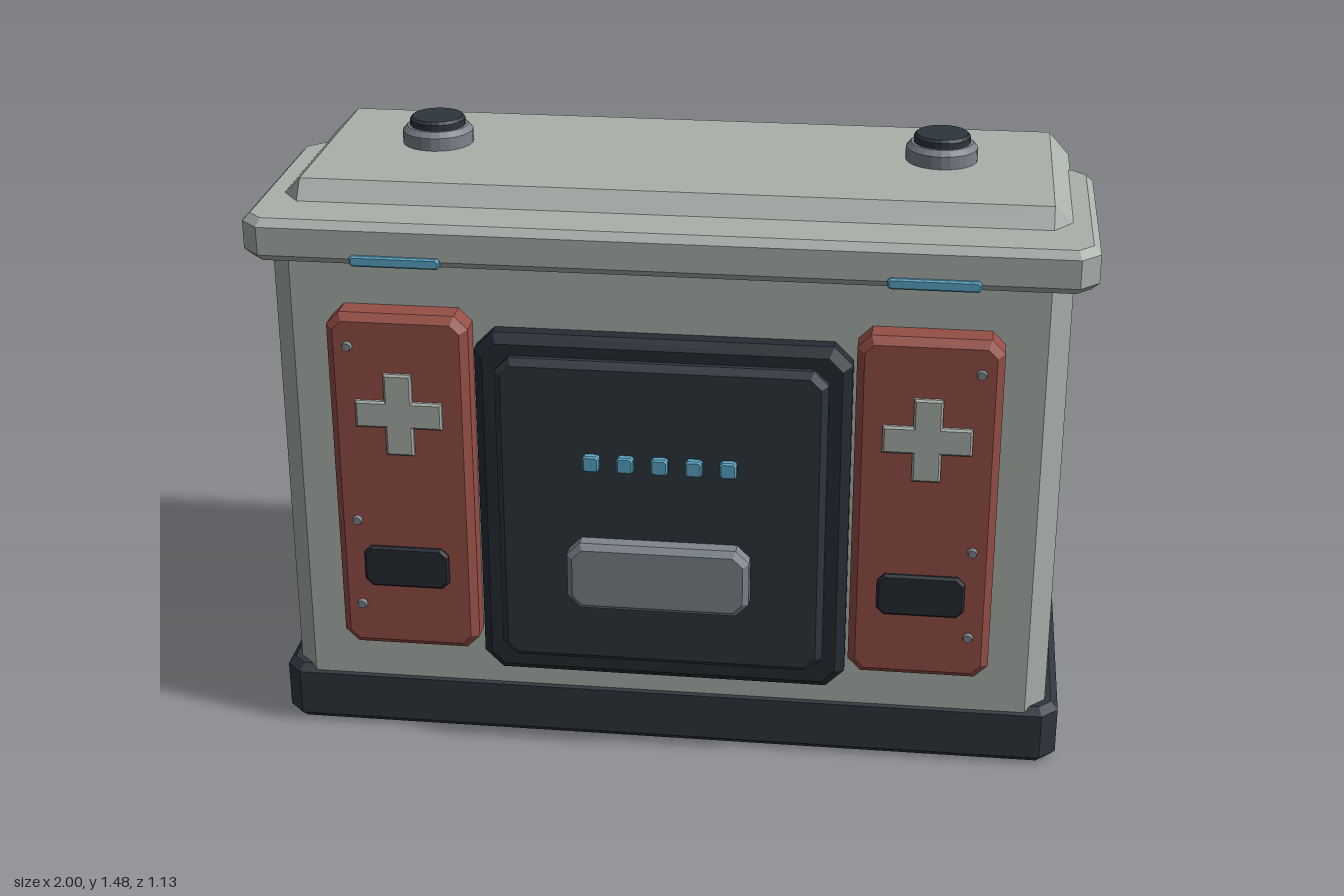
import * as THREE from 'three';

const mat = (name, color) => {
  const m = new THREE.MeshStandardMaterial({ color });
  m.name = name;
  return m;
};

// Extrude an outline to a total thickness with a straight bevel that stays inside the outline
function bevelled(points, depth, bevel) {
  const shape = new THREE.Shape(points.map(([x, y]) => new THREE.Vector2(x, y)));
  return new THREE.ExtrudeGeometry(shape, {
    depth: depth - 2 * bevel, bevelEnabled: true, bevelSegments: 1,
    bevelSize: bevel, bevelThickness: bevel, bevelOffset: -bevel,
  }).translate(0, 0, bevel);
}

// Rectangle with cut corners, centred on the origin
function cutRect(w, h, c) {
  const x = w / 2, y = h / 2;
  return [[-x + c, -y], [x - c, -y], [x, -y + c], [x, y - c],
    [x - c, y], [-x + c, y], [-x, y - c], [-x, -y + c]];
}

export function createModel() {
  const shell = mat('shell grey', 0xa9b1ab);
  const dark = mat('dark slate', 0x2e363e);
  const frame = mat('frame black', 0x262c34);
  const red = mat('brick red', 0x954f46);
  const metal = mat('metal grey', 0x7d848c);
  const blue = mat('light blue', 0x5aa8c8);

  const model = new THREE.Group();
  model.name = 'supplyCrate';
  const add = (name, geo, material, parent = model) => {
    const mesh = new THREE.Mesh(geo, material);
    mesh.name = name;
    parent.add(mesh);
    return mesh;
  };

  // Upright plate facing the front: x and y ranges, back and front z
  const plate = (name, material, x0, x1, y0, y1, z0, z1, cut, bevel, parent) =>
    add(name, bevelled(cutRect(x1 - x0, y1 - y0, cut), z1 - z0, bevel)
      .translate((x0 + x1) / 2, (y0 + y1) / 2, z0), material, parent);

  // Flat slab lying down: half width, y range, z range
  const slab = (name, material, hw, y0, y1, z0, z1, cut, bevel) =>
    add(name, bevelled(cutRect(2 * hw, z1 - z0, cut), y1 - y0, bevel)
      .rotateX(-Math.PI / 2).translate(0, y0, (z0 + z1) / 2), material);

  // Body: side profile (z, y) extruded across the width
  const profile = [[-0.505, 0.02], [0.44, 0.02], [0.43, 1.25], [0.29, 1.41],
    [-0.29, 1.41], [-0.505, 1.16]];
  add('body', bevelled(profile, 1.89, 0.05).translate(0, 0, -0.945)
    .rotateY(-Math.PI / 2), shell);

  slab('base', dark, 0.978, 0, 0.155, -0.565, 0.445, 0.04, 0.018);
  slab('lidRim', shell, 1, 1.26, 1.365, -0.145, 0.475, 0.045, 0.018);

  // Door with raised panel, indicator lights and handle
  plate('doorFrame', frame, -0.448, 0.448, 0.203, 1.107, 0.41, 0.488, 0.045, 0.022);
  plate('doorPanel', dark, -0.395, 0.395, 0.262, 1.058, 0.47, 0.517, 0.035, 0.016);
  for (let i = -2; i <= 2; i++) {
    const x = i * 0.082;
    plate('indicatorLight', blue, x - 0.02, x + 0.02, 0.785, 0.826, 0.505, 0.535, 0.006, 0.004);
  }
  plate('doorHandle', metal, -0.222, 0.218, 0.43, 0.605, 0.505, 0.565, 0.032, 0.014);

  // Plus-shaped outline
  const a = 0.105, t = 0.034;
  const plus = [[-t, -a], [t, -a], [t, -t], [a, -t], [a, t], [t, t],
    [t, a], [-t, a], [-t, t], [-a, t], [-a, -t], [-t, -t]];

  // Side panels and top knobs, mirrored left and right
  for (const s of [1, -1]) {
    const side = new THREE.Group();
    side.name = s > 0 ? 'leftFittings' : 'rightFittings';
    side.position.x = s * 0.627;
    model.add(side);

    plate('sidePanel', red, -0.17, 0.17, 0.265, 1.15, 0.41, 0.505, 0.032, 0.018, side);
    add('plusSign', bevelled(plus, 0.025, 0.005).translate(0, 0.9, 0.492), shell, side);
    plate('panelSlot', frame, -0.105, 0.105, 0.437, 0.545, 0.49, 0.516, 0.018, 0.006, side);
    plate('rimLight', blue, -0.107, 0.107, 1.262, 1.288, 0.455, 0.485, 0.006, 0.004, side);

    // Rivets along the outer edge
    for (const y of [1.07, 0.612, 0.382]) {
      add('rivet', new THREE.CylinderGeometry(0.01, 0.014, 0.014, 10)
        .rotateX(Math.PI / 2).translate(s * 0.118, y, 0.508), metal, side);
    }

    // Knob: metal collar with a dark cap
    const knob = new THREE.Group();
    knob.name = 'topKnob';
    knob.position.set(0, 1.4, -0.038);
    side.add(knob);
    const lathe = (pts) => {
      const g = new THREE.LatheGeometry(pts.map(([r, y]) => new THREE.Vector2(r, y)), 24)
        .toNonIndexed();
      g.computeVertexNormals();
      return g;
    };
    add('knobCollar', lathe([[0.088, 0], [0.088, 0.042], [0.076, 0.055], [0, 0.055]]), metal, knob);
    add('knobCap', lathe([[0.069, 0.05], [0.069, 0.07], [0.063, 0.077], [0, 0.077]]), dark, knob);
  }

  return model;
}
